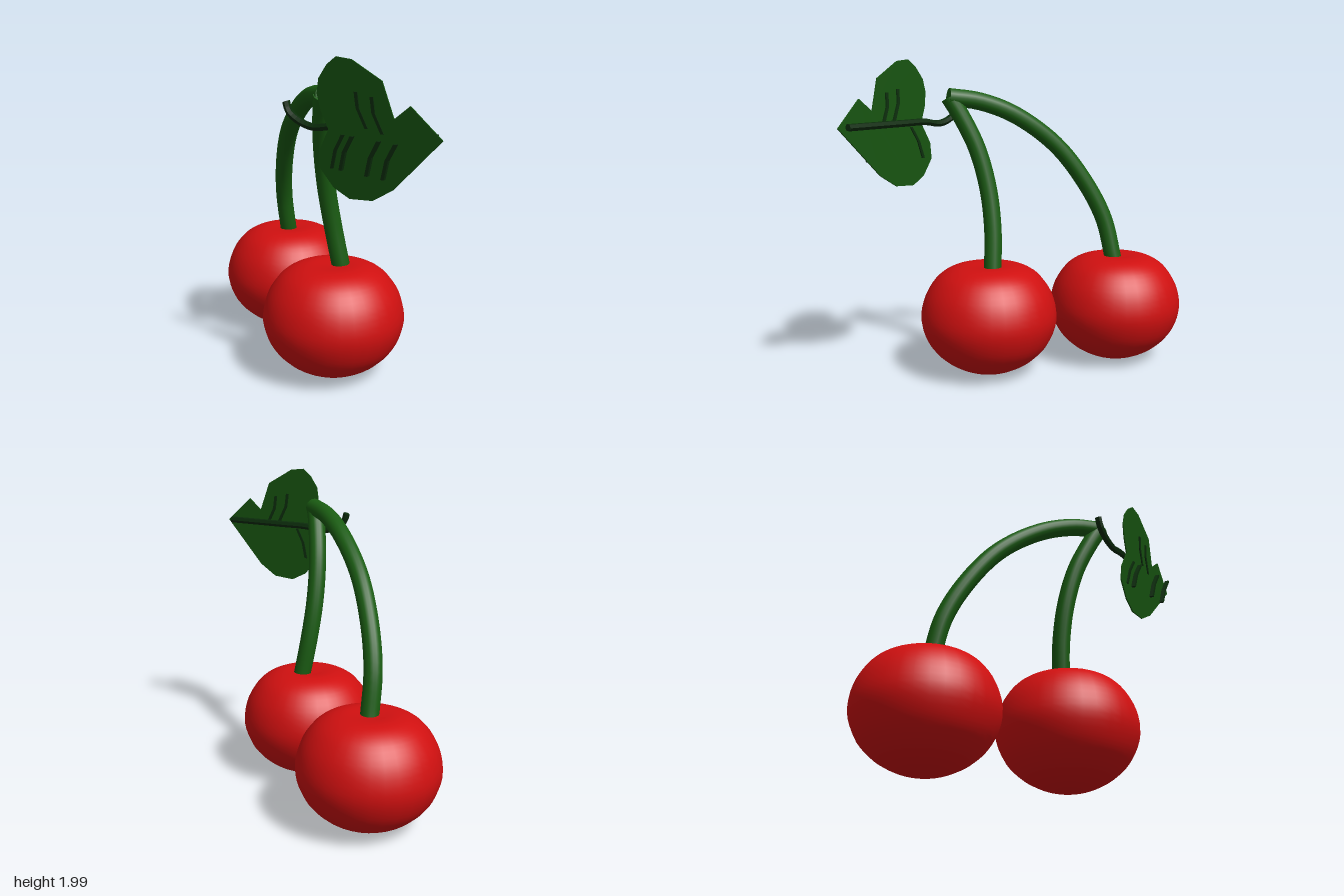
import * as THREE from 'three';

const mat = (color, side = THREE.FrontSide, flatShading = false) =>
  new THREE.MeshStandardMaterial({ color, side, flatShading });
const red = mat(0xd01010);
const stemGreen = mat(0x1a5c12);
const leafGreen = mat(0x16520f, THREE.DoubleSide, true);
const veinGreen = mat(0x0b2c0b, THREE.DoubleSide, true);
const vec = (p) => new THREE.Vector3(...p);

function add(parent, name, geometry, material) {
  const mesh = new THREE.Mesh(geometry, material);
  mesh.name = name;
  parent.add(mesh);
  return mesh;
}

// Round tube through points, closed by a disc at each end
function cappedTube(name, points, radius, sides, material) {
  const group = new THREE.Group();
  group.name = name;
  const curve = new THREE.CatmullRomCurve3(points.map(vec));
  add(group, name + 'Tube', new THREE.TubeGeometry(curve, 32, radius, sides), material);
  for (const t of [0, 1]) {
    const cap = add(group, name + 'Cap', new THREE.CircleGeometry(radius, sides), material);
    const end = curve.getPoint(t);
    const dir = curve.getTangent(t).multiplyScalar(t ? 1 : -1);
    cap.position.copy(end);
    cap.lookAt(end.clone().add(dir));
  }
  return group;
}

// Gently tilted plane in which the leaf lies
const leafZ = (x, y) => 0.64 + 0.11 * (x - 0.4) + 0.085 * (y - 1.615);

// Thin bent strip following three points, tilted like the leaf
function vein(parent, name, points, z) {
  const w = 0.01, depth = 0.024;
  const outline = [
    ...points.map(([x, y]) => new THREE.Vector2(x - w, y)),
    ...points.map(([x, y]) => new THREE.Vector2(x + w, y)).reverse(),
  ];
  const g = new THREE.ExtrudeGeometry(new THREE.Shape(outline), { depth, bevelEnabled: false });
  const p = g.attributes.position;
  const [mx, my] = points[1];
  for (let i = 0; i < p.count; i++) {
    p.setZ(i, p.getZ(i) - depth / 2 + z + 0.11 * (p.getX(i) - mx) + 0.1 * (p.getY(i) - my));
  }
  g.computeVertexNormals();
  add(parent, name, g, veinGreen);
}

export function createModel() {
  const model = new THREE.Group();
  model.name = 'cherries';

  // Fruit: squat bodies with a flattened, slightly dipped top
  const profile = new THREE.SplineCurve([
    [0, 0.008], [0.11, 0.016], [0.21, 0.053], [0.305, 0.115], [0.39, 0.215], [0.436, 0.36],
    [0.408, 0.51], [0.335, 0.625], [0.25, 0.685], [0.16, 0.707], [0.07, 0.703], [0, 0.698],
  ].map(([r, y]) => new THREE.Vector2(r, y))).getPoints(40);
  profile.forEach((p) => { p.x = Math.max(p.x, 0); });
  const body = new THREE.LatheGeometry(profile, 32);
  [[-0.545, -0.342], [0.122, 0.247]].forEach(([x, z], i) => {
    add(model, i ? 'frontCherry' : 'backCherry', body, red).position.set(x, 0, z);
  });

  // Stalks meeting at one tip
  model.add(cappedTube('backStalk', [
    [-0.54, 0.68, -0.33], [-0.53, 0.95, -0.26], [-0.46, 1.2, -0.15], [-0.33, 1.45, 0],
    [-0.13, 1.65, 0.19], [0.04, 1.74, 0.35], [0.195, 1.77, 0.485],
  ], 0.056, 16, stemGreen));
  model.add(cappedTube('frontStalk', [
    [0.15, 0.68, 0.2], [0.105, 0.95, 0.225], [0.085, 1.2, 0.27],
    [0.1, 1.45, 0.34], [0.145, 1.65, 0.425], [0.185, 1.77, 0.485],
  ], 0.056, 16, stemGreen));

  // Leaf blade with a faceted, notched outline
  const leaf = new THREE.Group();
  leaf.name = 'leaf';
  model.add(leaf);
  const outline = [
    [0.23, 1.8], [0.245, 1.88], [0.3, 1.955], [0.36, 2], [0.455, 1.99], [0.635, 1.89],
    [0.7, 1.7], [0.795, 1.775], [0.975, 1.615], [0.685, 1.32], [0.56, 1.245], [0.415, 1.235],
    [0.315, 1.285], [0.23, 1.385], [0.23, 1.485], [0.295, 1.61], [0.25, 1.71],
  ].map(([x, y]) => new THREE.Vector2(x, y)).reverse();
  const blade = new THREE.ExtrudeGeometry(new THREE.Shape(outline), { depth: 0.008, bevelEnabled: false });
  const p = blade.attributes.position;
  for (let i = 0; i < p.count; i++) {
    p.setZ(i, p.getZ(i) - 0.004 + leafZ(p.getX(i), p.getY(i)));
  }
  blade.computeVertexNormals();
  add(leaf, 'leafBlade', blade, leafGreen);

  // Leaf stalk, running on behind the blade as its midrib
  leaf.add(cappedTube('leafStalk', [
    [-0.015, 1.73, 0.55], [0.005, 1.675, 0.553], [0.08, 1.625, 0.562], [0.18, 1.602, 0.575],
    [0.29, 1.618, 0.592], [0.5, 1.62, 0.616], [0.72, 1.62, 0.642], [0.93, 1.62, 0.666],
  ], 0.022, 6, veinGreen));

  // Side veins: four below the midrib, two above
  [[0.31, 0.625], [0.375, 0.652], [0.56, 0.718], [0.67, 0.755]].forEach(([x, z], i) => {
    vein(leaf, 'lowerVein' + (i + 1), [[x, 1.395], [x + 0.028, 1.5], [x + 0.08, 1.59]], z);
  });
  [[0.478, 1.825], [0.573, 1.805]].forEach(([x, y], i) => {
    vein(leaf, 'upperVein' + (i + 1), [[x, y], [x + 0.008, y - 0.085], [x + 0.058, y - 0.19]], leafZ(x, y - 0.085));
  });

  return model;
}
